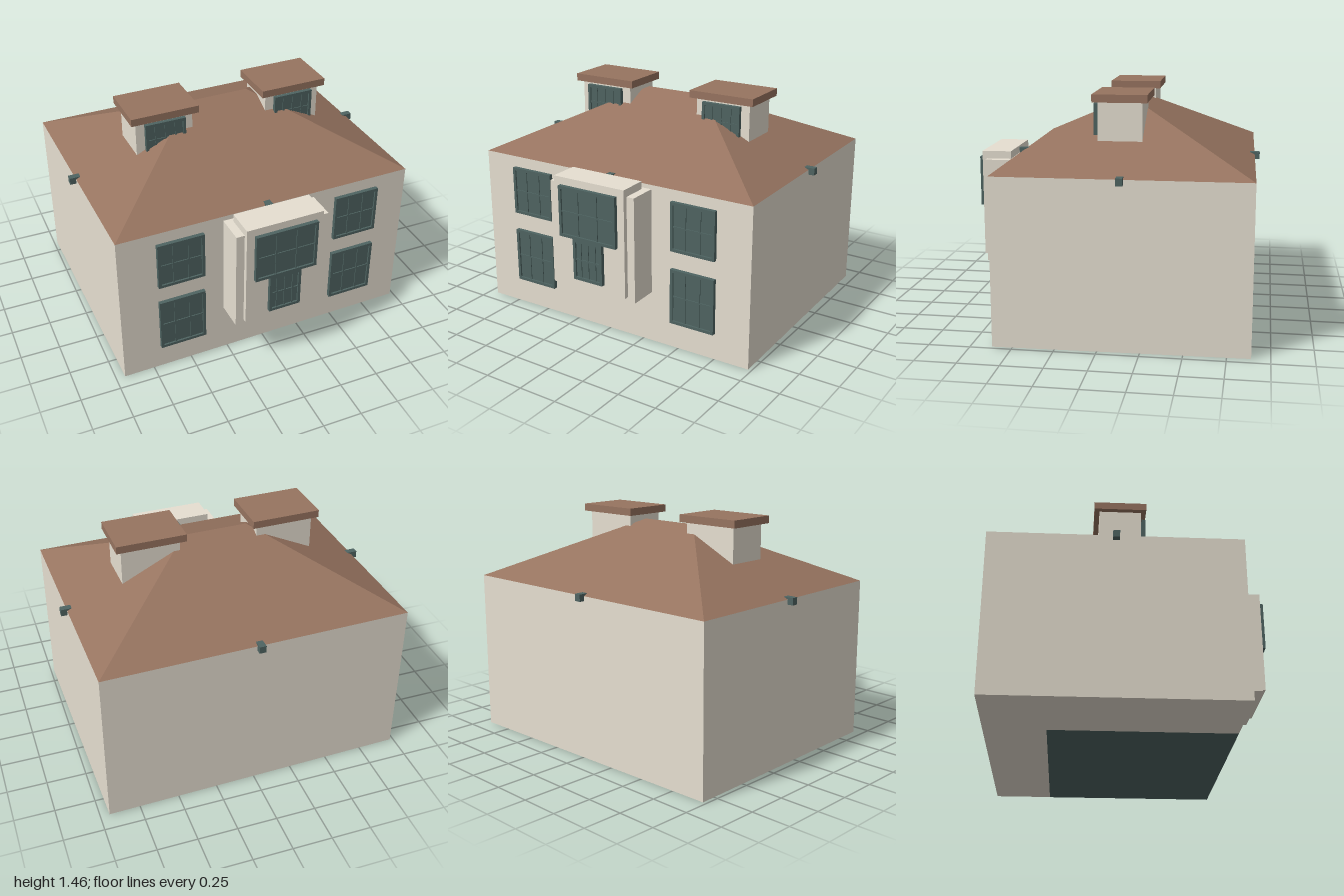
import * as THREE from 'three';

export function createModel() {
  const wall = new THREE.MeshStandardMaterial({ color: 0xe6dfd1 });
  wall.name = 'plaster';
  const tile = new THREE.MeshStandardMaterial({ color: 0x977460 });
  tile.name = 'roof tile';
  const trim = new THREE.MeshStandardMaterial({ color: 0x4f6462 });
  trim.name = 'teal trim';

  const house = new THREE.Group();
  house.name = 'house';

  // Box given by its centre in x and its y and z ranges
  function block(parent, name, mat, x, w, y0, y1, z0, z1) {
    const m = new THREE.Mesh(new THREE.BoxGeometry(w, y1 - y0, z1 - z0), mat);
    m.position.set(x, (y0 + y1) / 2, (z0 + z1) / 2);
    m.name = name;
    parent.add(m);
    return m;
  }

  // Window: recessed pane, outer frame and glazing bars
  function addWindow(name, x, w, y0, y1, z0, cols, rows) {
    const g = new THREE.Group();
    g.name = name;
    const z1 = z0 + 0.025, f = 0.018, b = 0.01;
    block(g, 'pane', trim, x, w - f, y0 + f / 2, y1 - f / 2, z0, z0 + 0.014);
    for (const s of [-1, 1]) block(g, 'frameSide', trim, x + s * (w - f) / 2, f, y0 + f, y1 - f, z0, z1);
    block(g, 'frameTop', trim, x, w, y1 - f, y1, z0, z1);
    block(g, 'sill', trim, x, w, y0, y0 + f, z0, z1);
    for (let i = 1; i < cols; i++) {
      block(g, 'uprightBar', trim, x - w / 2 + (w * i) / cols, b, y0 + f, y1 - f, z0, z0 + 0.02);
    }
    for (let i = 1; i < rows; i++) {
      const y = y0 + ((y1 - y0) * i) / rows;
      block(g, 'crossBar', trim, x, w - 2 * f, y - b / 2, y + b / 2, z0, z0 + 0.02);
    }
    house.add(g);
  }

  // Main body
  const W = 0.961, D = 0.755, eave = 1.02, top = 1.387, R = 0.206;
  block(house, 'walls', wall, 0, 2 * W, 0.001, eave, -D, D);

  // Dark floor panel under the front left part, facing down
  const floor = new THREE.Mesh(new THREE.PlaneGeometry(W + 0.44, D + 0.38), trim);
  floor.rotation.x = Math.PI / 2;
  floor.position.set((W - 0.44) / 2, 0, (D - 0.38) / 2);
  floor.name = 'floorPanel';
  house.add(floor);

  // Hipped roof
  const a = [-W, eave, D], b = [W, eave, D], c = [W, eave, -D], d = [-W, eave, -D];
  const l = [-R, top, 0], r = [R, top, 0];
  const tris = [a, b, r, a, r, l, c, d, l, c, l, r, b, c, r, d, a, l];
  const roofGeo = new THREE.BufferGeometry();
  roofGeo.setAttribute('position', new THREE.Float32BufferAttribute(tris.flat(), 3));
  roofGeo.computeVertexNormals();
  const roof = new THREE.Mesh(roofGeo, tile);
  roof.name = 'roof';
  house.add(roof);

  // Facade windows and roof dormers, left and right
  for (const s of [-1, 1]) {
    const side = s > 0 ? 'left' : 'right';
    const x = s * 0.586 + 0.009;
    addWindow(side + 'UpperWindow', x, 0.296, 0.65, 0.957, 0.769, 3, 2);
    addWindow(side + 'LowerWindow', x, 0.296, 0.18, 0.533, 0.769, 3, 2);

    const dx = s * 0.433 + 0.009;
    block(house, side + 'Dormer', wall, dx, 0.368, 1.12, 1.415, -0.092, 0.172);
    block(house, side + 'DormerCap', tile, dx, 0.436, 1.413, 1.46, -0.124, 0.203);
    addWindow(side + 'DormerWindow', dx, 0.26, 1.17, 1.398, 0.179, 4, 2);
  }

  // Stepped bay in the middle of the front
  block(house, 'bayOuter', wall, 0.001, 0.6, 0.335, 0.997, 0.764, 0.947);
  block(house, 'bayInner', wall, 0.002, 0.498, 0.365, 1.045, 0.79, 0.976);
  addWindow('bayUpperWindow', 0.004, 0.404, 0.68, 1.0, 0.98, 3, 2);
  addWindow('bayLowerWindow', 0.002, 0.208, 0.42, 0.68, 0.98, 4, 2);

  // Small brackets at the middle of each eave
  for (const s of [-1, 1]) {
    block(house, 'sideBracket', trim, s * 0.964, 0.07, 0.99, 1.034, -0.02, 0.02);
    const z = s * D;
    block(house, 'eaveBracket', trim, 0, 0.042, 0.99, 1.034, z - 0.032, z + 0.032);
  }

  // The house stands turned slightly
  house.rotation.y = 0.0235;
  house.position.z = -0.112;
  const model = new THREE.Group();
  model.name = 'model';
  model.add(house);
  return model;
}
